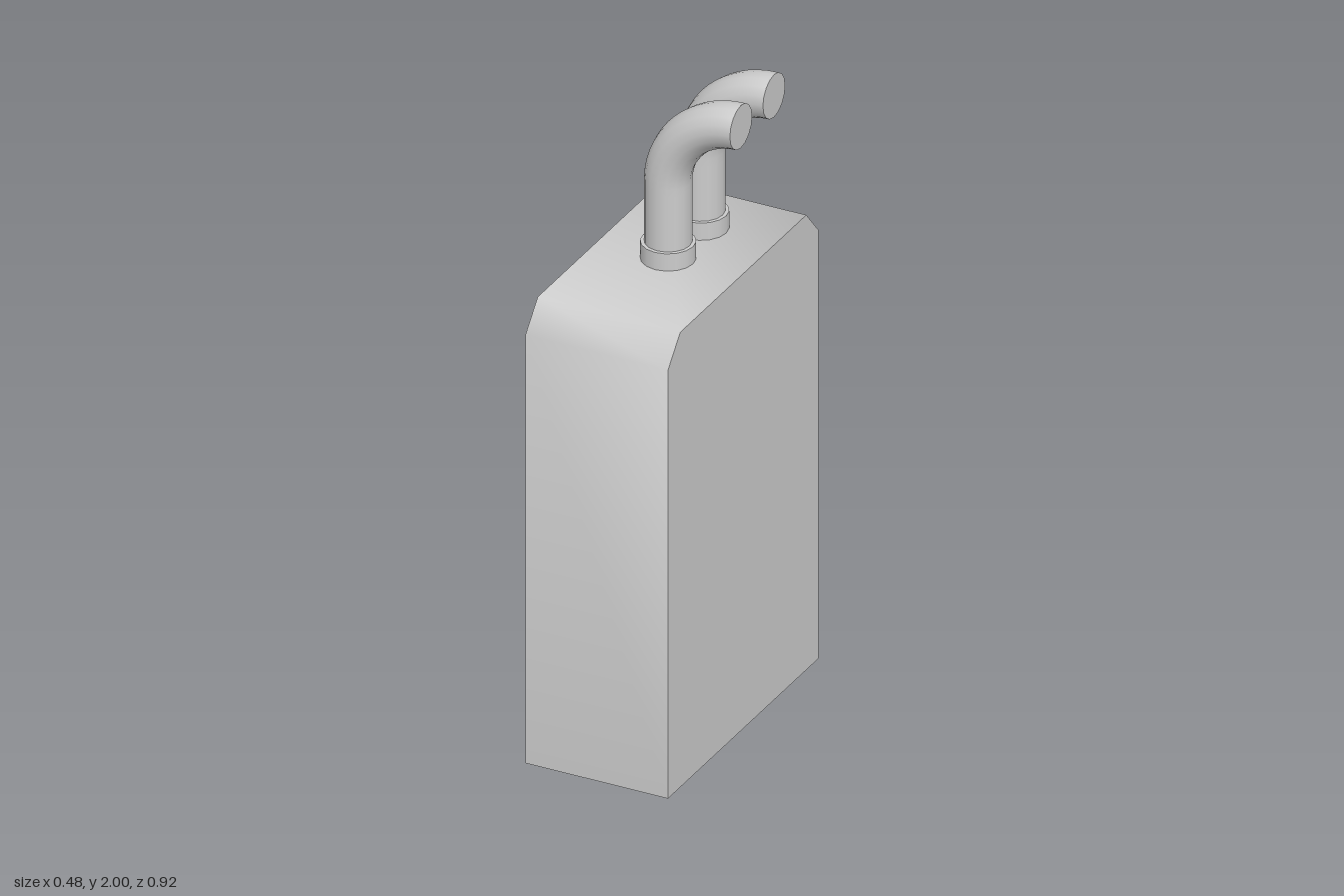
import * as THREE from 'three';
import { toCreasedNormals } from 'three/addons/utils/BufferGeometryUtils.js';

const grey = new THREE.MeshStandardMaterial({ color: 0xcccccc });
grey.name = 'grey';

const LEFT = 0.235, RIGHT = -0.215; // the casing's side planes

// band of quads joining a closed (z, y) loop at x = xa to another at x = xb
function loft(a, xa, b, xb, crease) {
  const pos = [];
  for (let i = 0; i < a.length; i++) {
    const j = (i + 1) % a.length;
    const quad = [[xa, a[i]], [xa, a[j]], [xb, b[j]], [xb, b[i]]];
    for (const k of [0, 1, 2, 0, 2, 3]) pos.push(quad[k][0], quad[k][1][1], quad[k][1][0]);
  }
  const g = new THREE.BufferGeometry();
  g.setAttribute('position', new THREE.Float32BufferAttribute(pos, 3));
  return toCreasedNormals(g, crease);
}

// flat (z, y) outline facing -x (side = -1) or +x (side = 1)
function plate(loop, x, side, hole) {
  const toPoints = (l) => l.map(([z, y]) => new THREE.Vector2(z, y));
  const shape = new THREE.Shape(toPoints(loop));
  if (hole) shape.holes.push(new THREE.Path(toPoints(hole)));
  return new THREE.ShapeGeometry(shape).rotateY(side * Math.PI / 2).translate(x, 0, 0);
}

const rect = (w, y0, y1) => [[-w, y0], [w, y0], [w, y1], [-w, y1]];

export function createModel() {
  const model = new THREE.Group();
  model.name = 'keypadDevice';
  const add = (name, geometry, parent = model) => {
    const mesh = new THREE.Mesh(geometry, grey);
    mesh.name = name;
    parent.add(mesh);
    return mesh;
  };

  // casing with chamfered top edges
  const profile = [[-0.46, 0], [0.46, 0], [0.46, 1.37], [0.385, 1.455], [-0.385, 1.455], [-0.46, 1.37]];
  const opening = rect(0.385, 0.74, 1.385);
  const inner = rect(0.385, 0.94, 1.385);
  add('casingShell', loft(profile, LEFT, profile, RIGHT, Math.PI / 3));
  add('casingBack', plate(profile, LEFT, 1));
  add('casingFace', plate(profile, RIGHT, -1, opening));

  // screen recess: sloping sill, then a straight step down to the screen
  add('screenRecess', loft(opening, RIGHT, inner, -0.085, 1.8));
  add('screenStep', loft(inner, -0.085, inner, -0.045, 0.5));
  add('screen', plate(inner, -0.045, -1));

  // keypad, three rows of four
  const keypad = new THREE.Group();
  keypad.name = 'keypad';
  model.add(keypad);
  for (let row = 0; row < 3; row++) {
    for (let col = 0; col < 4; col++) {
      add('key', new THREE.BoxGeometry(0.025, 0.145, 0.155), keypad)
        .position.set(RIGHT - 0.0125, 0.2 + row * 0.184, -0.302 + col * 0.2);
    }
  }

  // two bent pipes with collars
  const x = 0.005, bend = 0.23, top = 1.932, r = 0.068;
  const path = new THREE.CurvePath();
  path.add(new THREE.LineCurve3(new THREE.Vector3(x, 1.455, 0), new THREE.Vector3(x, top - bend, 0)));
  const k = bend * 0.5523; // quarter-circle handles
  path.add(new THREE.CubicBezierCurve3(
    new THREE.Vector3(x, top - bend, 0), new THREE.Vector3(x, top - bend + k, 0),
    new THREE.Vector3(x + bend - k, top, 0), new THREE.Vector3(x + bend, top, 0)));
  for (const z of [0.014, -0.188]) {
    const pipe = new THREE.Group();
    pipe.name = 'pipe';
    pipe.position.z = z;
    model.add(pipe);
    add('pipeTube', new THREE.TubeGeometry(path, 24, r, 16), pipe);
    add('pipeEnd', new THREE.CircleGeometry(r, 16).rotateY(Math.PI / 2).translate(x + bend, top, 0), pipe);
    add('pipeCollar', new THREE.CylinderGeometry(0.079, 0.079, 0.055, 16).translate(x, 1.4825, 0), pipe);
  }
  return model;
}
